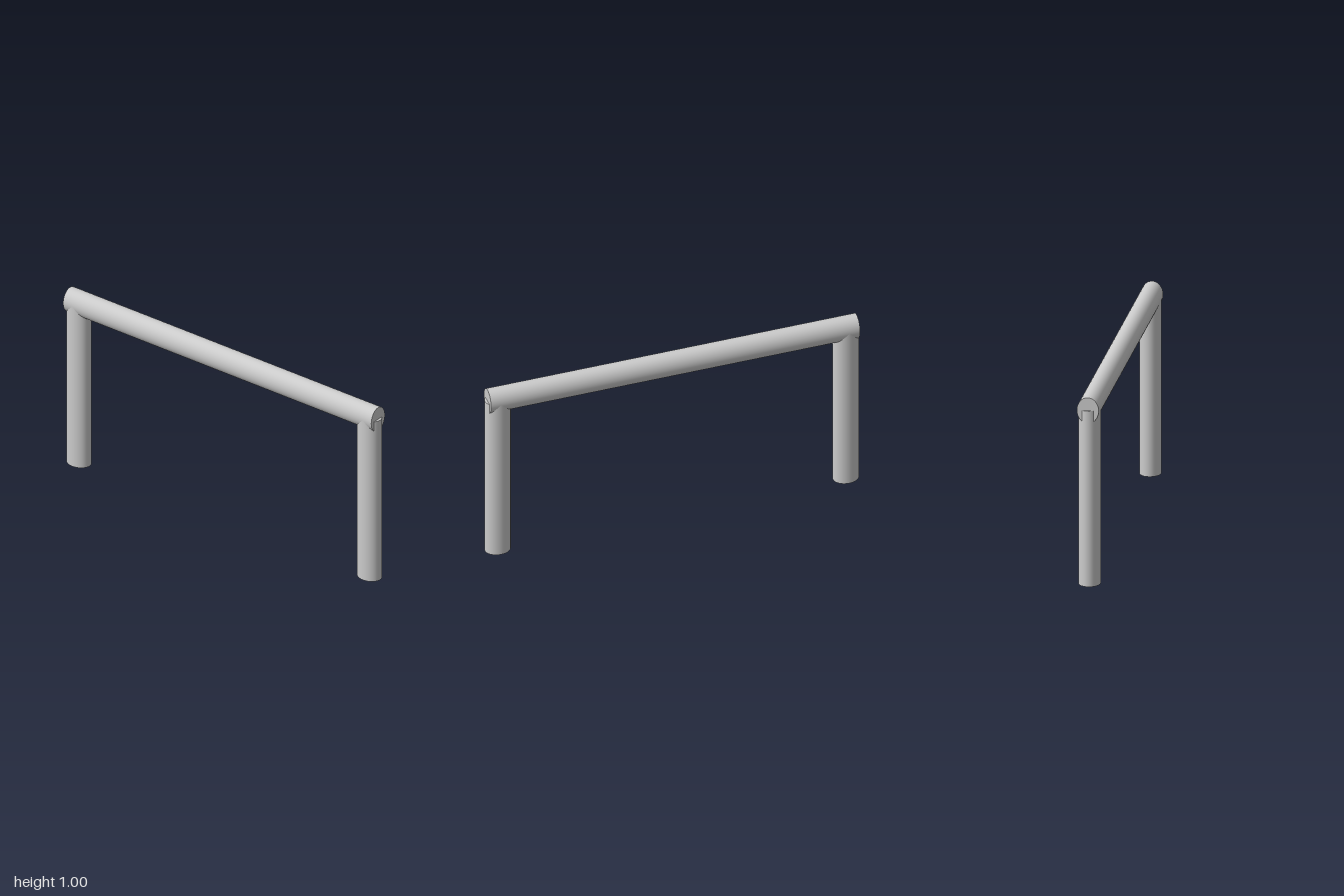
import * as THREE from 'three';

const RX = 0.068; // long radius of the oval section
const RZ = 0.056; // short radius, front to back
const AXIS_Y = 0.932; // height of the bar's axis and of the leg tops

export function createModel() {
  const group = new THREE.Group();
  const material = new THREE.MeshStandardMaterial({ color: 0xcccccc });

  // Upright oval post, base at the origin, wider along x
  const post = (length) =>
    new THREE.CylinderGeometry(1, 1, length, 48)
      .scale(RX, 1, RZ)
      .translate(0, length / 2, 0);

  const add = (name, geometry, x, y) => {
    const mesh = new THREE.Mesh(geometry, material);
    mesh.name = name;
    mesh.position.set(x, y, 0);
    group.add(mesh);
  };

  // Legs, reaching up to the bar's axis
  add('leftLeg', post(AXIS_Y), 1 - RX, 0);
  add('rightLeg', post(AXIS_Y), RX - 1, 0);

  // Crossbar, the same section laid on its side, ending just short of the legs' outer faces
  const barStart = -0.99;
  const barEnd = 0.986;
  add('crossbar', post(barEnd - barStart).rotateZ(-Math.PI / 2), barStart, AXIS_Y);

  return group;
}
